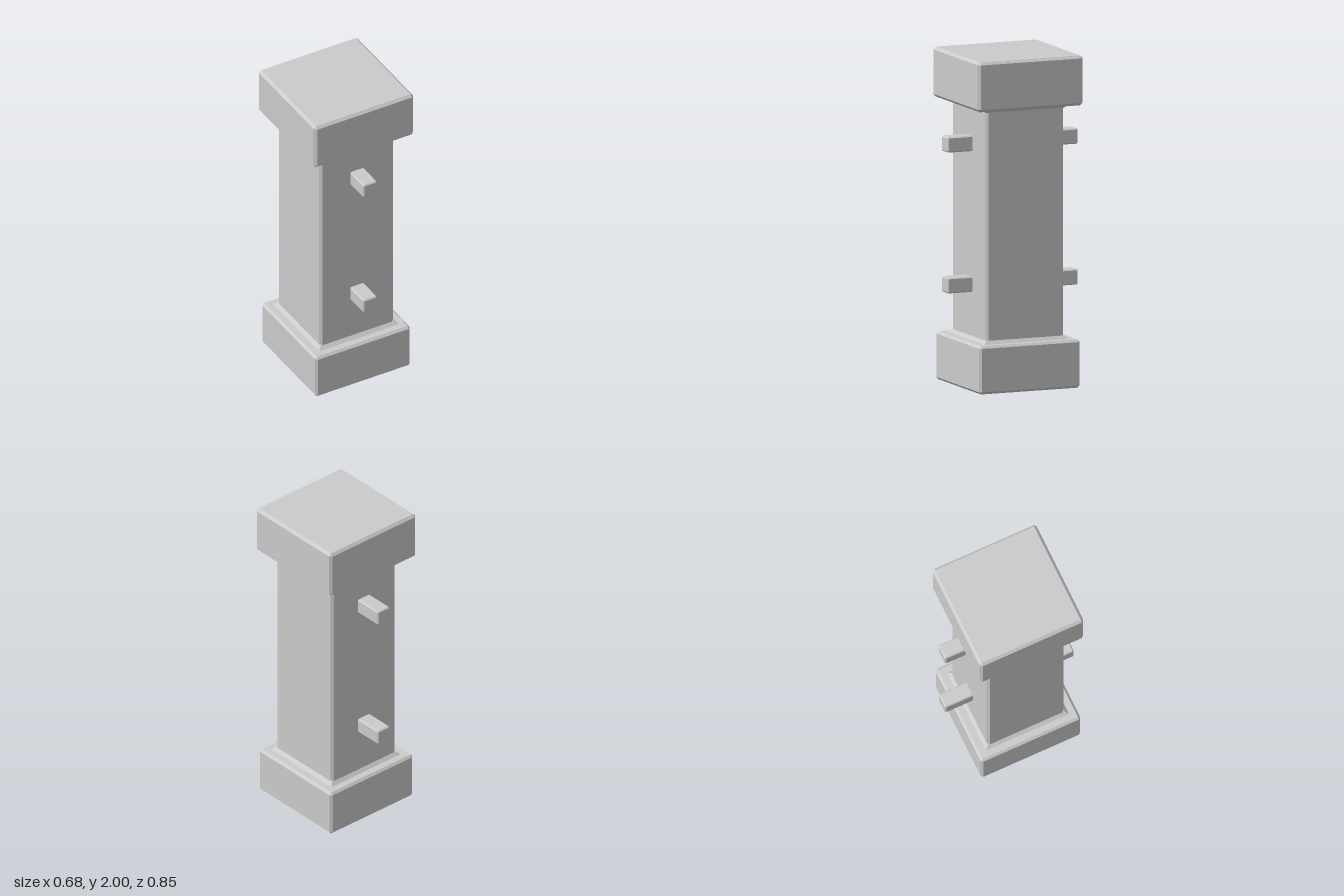
import * as THREE from 'three';
import { ConvexGeometry } from 'three/addons/geometries/ConvexGeometry.js';

const material = new THREE.MeshStandardMaterial({ color: 0xcccccc, flatShading: true });

// Box with all twelve edges cut flat by c; w, h, d are full sizes
function chamferedBox(w, h, d, c) {
  const points = [];
  for (const x of [-w / 2, w / 2])
    for (const y of [-h / 2, h / 2])
      for (const z of [-d / 2, d / 2]) {
        const ix = x - Math.sign(x) * c, iy = y - Math.sign(y) * c, iz = z - Math.sign(z) * c;
        points.push(
          new THREE.Vector3(x, iy, iz),
          new THREE.Vector3(ix, y, iz),
          new THREE.Vector3(ix, iy, z),
        );
      }
  return new ConvexGeometry(points);
}

// Square frustum from half-width 'bottom' to half-width 'top'
function squareFrustum(bottom, top, height) {
  const geometry = new THREE.CylinderGeometry(top * Math.SQRT2, bottom * Math.SQRT2, height, 4);
  return geometry.rotateY(Math.PI / 4);
}

export function createModel() {
  const group = new THREE.Group();
  const axisZ = 0.012; // the column sits slightly forward of the pegs' middle

  const add = (name, geometry, y, z = axisZ) => {
    const mesh = new THREE.Mesh(geometry, material);
    mesh.name = name;
    mesh.position.set(0, y, z);
    group.add(mesh);
  };

  // Column
  add('base', chamferedBox(0.65, 0.29, 0.654, 0.014), 0.145);
  add('shaft', chamferedBox(0.505, 1.44, 0.505, 0.015), 1.0);
  add('cap', chamferedBox(0.68, 0.3, 0.682, 0.016), 1.85);

  // Sloped collars where the shaft meets base and cap
  add('lowerCollar', squareFrustum(0.275, 0.25, 0.025), 0.2995);
  add('upperCollar', squareFrustum(0.25, 0.275, 0.025), 1.6915);

  // Pegs run through the shaft and stick out at front and back
  add('lowerPeg', chamferedBox(0.095, 0.093, 0.845, 0.007), 0.62, 0);
  add('upperPeg', chamferedBox(0.095, 0.093, 0.845, 0.007), 1.467, 0);

  return group;
}
